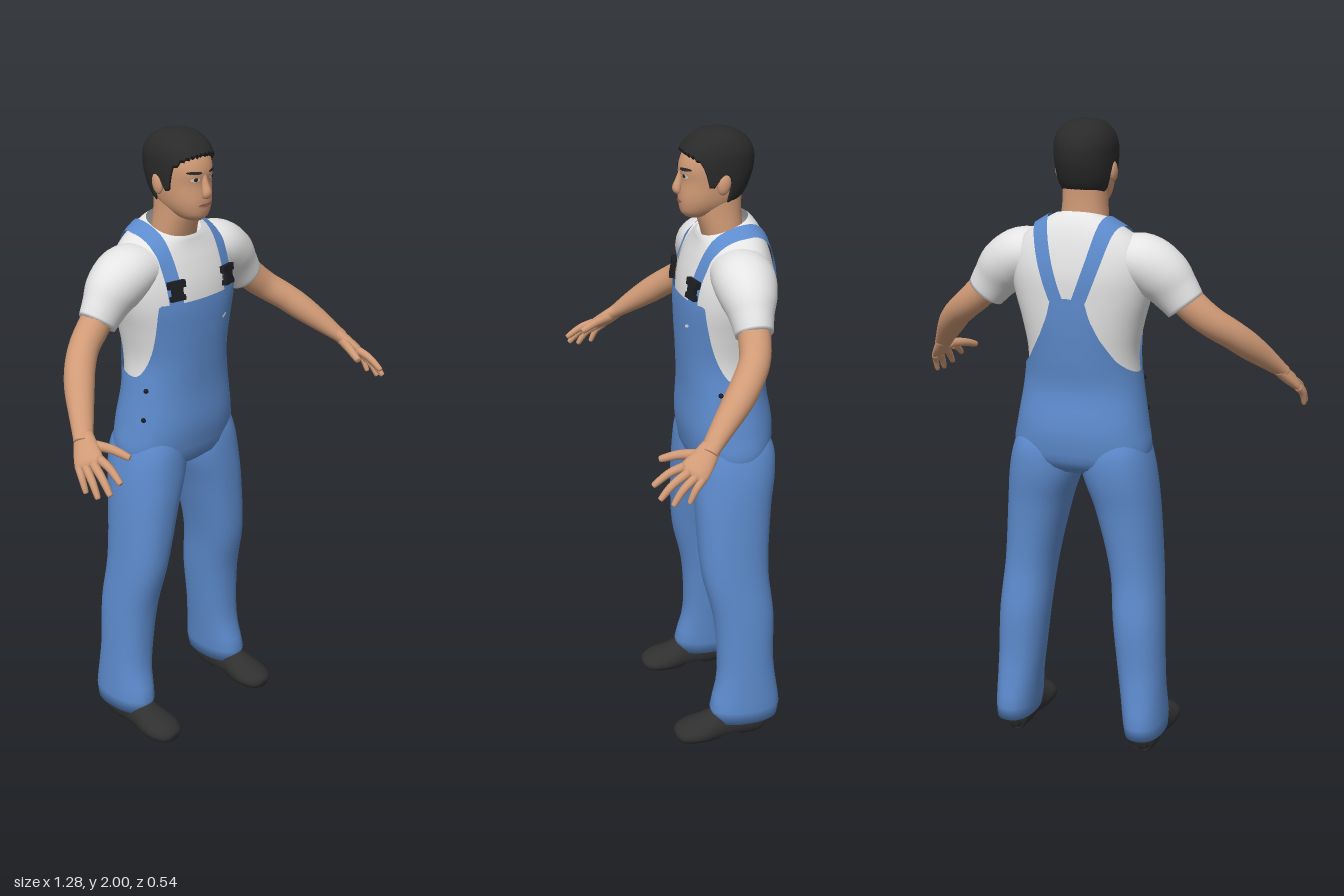
import * as THREE from 'three';

const mat = (name, color, side = THREE.DoubleSide) => {
  const m = new THREE.MeshStandardMaterial({ color, side });
  m.name = name;
  return m;
};

// Skin a list of equal-length rings; optionally closed round and capped.
function loft(rings, { closed = true, caps = true } = {}) {
  const n = rings[0].length, pos = [], idx = [];
  rings.forEach(r => r.forEach(p => pos.push(p.x, p.y, p.z)));
  const cols = closed ? n : n - 1;
  for (let i = 0; i < rings.length - 1; i++) for (let j = 0; j < cols; j++) {
    const k = (j + 1) % n, a = i * n + j, b = i * n + k, c = b + n, d = a + n;
    idx.push(a, d, c, a, c, b);
  }
  if (caps) [0, rings.length - 1].forEach((ri, end) => {
    const c = new THREE.Vector3();
    rings[ri].forEach(p => c.addScaledVector(p, 1 / n));
    const ci = pos.length / 3;
    pos.push(c.x, c.y, c.z);
    for (let j = 0; j < n; j++) {
      const a = ri * n + j, b = ri * n + (j + 1) % n;
      if (end) idx.push(ci, b, a); else idx.push(ci, a, b);
    }
  });
  const g = new THREE.BufferGeometry();
  g.setAttribute('position', new THREE.Float32BufferAttribute(pos, 3));
  g.setIndex(idx);
  g.computeVertexNormals();
  return g;
}

// Smooth interpolation of table rows by their first column.
function rowAt(rows, y) {
  let i = 0;
  while (i < rows.length - 2 && y > rows[i + 1][0]) i++;
  const A = rows[i], B = rows[i + 1], h = B[0] - A[0];
  const t = THREE.MathUtils.clamp((y - A[0]) / h, 0, 1), P = rows[i - 1] || A, Q = rows[i + 2] || B;
  return A.map((a, c) => {
    const m0 = (B[c] - P[c]) / (B[0] - P[0]) * h, m1 = (Q[c] - a) / (Q[0] - A[0]) * h;
    return (2 * t ** 3 - 3 * t * t + 1) * a + (t ** 3 - 2 * t * t + t) * m0
      + (3 * t * t - 2 * t ** 3) * B[c] + (t ** 3 - t * t) * m1;
  });
}
const linear = (rows, x) => {
  let i = 0;
  while (i < rows.length - 2 && x > rows[i + 1][0]) i++;
  const [a, b] = [rows[i], rows[i + 1]];
  return THREE.MathUtils.mapLinear(THREE.MathUtils.clamp(x, a[0], b[0]), a[0], b[0], a[1], b[1]);
};

// Upright shell from rows [y, centreX, halfWidth, zFront, zBack, tilt]; lower and upper rims vary by angle.
function shell(rows, lo, hi, { off = 0, exp = 2.25, steps = 36, segs = 80, caps = true } = {}) {
  const rings = [];
  for (let i = 0; i <= steps; i++) {
    const ring = [], t = Math.sin(i / steps * Math.PI / 2);
    for (let j = 0; j < segs; j++) {
      const a = j / segs * Math.PI * 2, c = Math.cos(a), s = Math.sin(a);
      const y = THREE.MathUtils.lerp(lo(c, s), hi(c, s), t);
      const [, cx, hw, zf, zb, tilt = 0] = rowAt(rows, y);
      const sp = v => Math.sign(v) * Math.abs(v) ** (2 / exp);
      const dz = sp(s) * ((zf - zb) / 2 + off);
      ring.push(new THREE.Vector3(cx + sp(c) * (hw + off), y + tilt * dz, (zf + zb) / 2 + dz));
    }
    rings.push(ring);
  }
  return loft(rings, { caps });
}

// Limb along rows [x, y, z, radius along hint, radius across].
function limb(rows, hint, { segs = 18, sub = 5, floor } = {}) {
  const keyed = rows.map((r, i) => [i, ...r]), h = new THREE.Vector3(...hint), rings = [];
  const at = k => rowAt(keyed, k).slice(1), last = rows.length - 1;
  for (let i = 0; i <= last * sub; i++) {
    const k = i / sub, [x, y, z, r1, r2] = at(k);
    const p = at(Math.max(0, k - 0.1)), q = at(Math.min(last, k + 0.1));
    const t = new THREE.Vector3(q[0] - p[0], q[1] - p[1], q[2] - p[2]).normalize();
    const u = h.clone().addScaledVector(t, -h.dot(t)).normalize(), v = u.clone().cross(t);
    rings.push(Array.from({ length: segs }, (_, j) => {
      const a = j / segs * Math.PI * 2;
      const w = new THREE.Vector3(x, y, z).addScaledVector(u, r1 * Math.cos(a)).addScaledVector(v, r2 * Math.sin(a));
      if (floor) w.y = Math.max(w.y, floor(w.z));
      return w;
    }));
  }
  return loft(rings);
}

function mirrored(g) {
  const m = g.clone().scale(-1, 1, 1), ix = m.index.array;
  for (let i = 0; i < ix.length; i += 3) [ix[i], ix[i + 1]] = [ix[i + 1], ix[i]];
  m.computeVertexNormals();
  return m;
}

export function createModel() {
  const root = new THREE.Group();
  const skin = mat('skin', 0xd09a76), hair = mat('dark hair', 0x2a2a2a), white = mat('white cotton', 0xe4e4e4);
  const denim = mat('blue denim', 0x5d8bcd), leather = mat('black leather', 0x303030);
  const plastic = mat('buckle black', 0x1c1e22), lip = mat('lips', 0xa8685a), eyeWhite = mat('eye white', 0xd8d4cc);
  const add = (name, g, m) => {
    const mesh = new THREE.Mesh(g, m);
    mesh.name = name;
    root.add(mesh);
    return mesh;
  };
  const pair = (name, g, m) => [add('left' + name, g, m), add('right' + name, mirrored(g), m)];
  const ray = new THREE.Raycaster();
  const hit = (targets, from, dir) => {
    ray.set(from, dir);
    return ray.intersectObjects(targets, false)[0]?.point;
  };

  // Torso: shirt and overalls share one set of sections
  const torso = [
    [0.93, 0, 0.12, -0.04, -0.2, 0], [0.96, 0, 0.19, -0.005, -0.24, 0], [1.0, 0, 0.211, 0.006, -0.252, 0],
    [1.08, 0, 0.2, 0.018, -0.257, 0], [1.2, 0, 0.181, 0.014, -0.238, 0], [1.3, 0, 0.172, 0.018, -0.248, 0],
    [1.4, 0, 0.19, 0.022, -0.257, 0], [1.48, 0, 0.212, 0.021, -0.26, 0], [1.55, 0, 0.222, 0.01, -0.26, 0],
    [1.61, 0, 0.213, -0.01, -0.25, 0], [1.65, 0, 0.185, -0.022, -0.236, -0.1], [1.68, 0, 0.145, -0.03, -0.22, -0.2],
    [1.7, 0, 0.108, -0.034, -0.202, -0.3], [1.71, 0, 0.086, -0.038, -0.188, -0.36]];
  const shirt = add('shirt', shell(torso, () => 1.2, () => 1.71, { caps: false }), white);
  const sleeves = pair('Sleeve', limb([
    [0.11, 1.6, -0.12, 0.066, 0.085], [0.19, 1.588, -0.122, 0.085, 0.095], [0.25, 1.55, -0.12, 0.085, 0.085],
    [0.29, 1.505, -0.117, 0.073, 0.066], [0.322, 1.463, -0.115, 0.063, 0.056]], [0, 1, 0], { segs: 28 }), white);
  const frontRim = [[0, 1.5], [0.7, 1.5], [0.75, 1.46], [0.86, 1.36], [0.95, 1.29], [1, 1.25]];
  const backRim = [[0, 1.49], [0.2, 1.485], [0.28, 1.43], [0.45, 1.37], [0.75, 1.295], [1, 1.25]];
  const rim = (c, s) => linear(s >= 0 ? frontRim : backRim, Math.abs(c));
  const bib = add('overallsBody', shell(torso, () => 0.93, rim, { off: 0.008, segs: 120, caps: false }), denim);

  // Trouser legs and shoes
  pair('TrouserLeg', shell([
    [0.06, 0.222, 0.063, -0.03, -0.25], [0.1, 0.22, 0.066, -0.02, -0.258], [0.2, 0.212, 0.07, -0.045, -0.245],
    [0.28, 0.205, 0.074, -0.05, -0.237], [0.44, 0.193, 0.08, -0.038, -0.238], [0.6, 0.178, 0.082, -0.002, -0.222],
    [0.81, 0.146, 0.1, 0.01, -0.235], [0.92, 0.122, 0.113, 0.01, -0.252], [1, 0.112, 0.106, 0.005, -0.252],
    [1.06, 0.105, 0.09, -0.01, -0.23]], () => 0.06, () => 1.06, { segs: 40 }), denim);
  pair('Shoe', limb([
    [0.222, 0.035, -0.21, 0.02, 0.03], [0.222, 0.04, -0.195, 0.04, 0.045], [0.222, 0.045, -0.14, 0.045, 0.06],
    [0.222, 0.042, -0.05, 0.05, 0.056], [0.222, 0.032, 0, 0.06, 0.045], [0.222, 0.028, 0.05, 0.06, 0.036],
    [0.222, 0.022, 0.085, 0.044, 0.027], [0.222, 0.018, 0.1, 0.02, 0.014]], [1, 0, 0],
    { segs: 28, floor: z => (z > -0.11 && z < -0.05 ? 0.014 : 0) }), leather);

  // Straps laid over the shoulders, from bib to back
  const strap = [];
  for (let i = 0; i <= 40; i++) {
    const a = i / 40 * Math.PI, d = new THREE.Vector3(0, Math.sin(a), Math.cos(a));
    const x = linear([[0, 0.11], [1.2, 0.119], [1.75, 0.117], [Math.PI, 0.034]], a);
    const edge = [-0.023, 0, 0.023].map(w =>
      hit([shirt, ...sleeves], new THREE.Vector3(x + w, 1.48, -0.115).add(d), d.clone().negate())?.addScaledVector(d, 0.009));
    if (edge.every(Boolean)) strap.push(edge);
  }
  pair('Strap', loft(strap, { closed: false, caps: false }), denim);

  // Buckles and side buttons
  [-1, 1].forEach(s => {
    const buckle = new THREE.Group();
    buckle.name = s > 0 ? 'leftBuckle' : 'rightBuckle';
    [[0.058, 0.022, 0.022], [0.036, 0.03, 0], [0.05, 0.016, -0.02]].forEach(([w, h, y]) => {
      const part = new THREE.Mesh(new THREE.BoxGeometry(w, h, 0.016), plastic);
      part.position.y = y;
      buckle.add(part);
    });
    const p = hit([shirt], new THREE.Vector3(s * 0.11, 1.54, 1), new THREE.Vector3(0, 0, -1));
    buckle.position.set(p.x, p.y, p.z + 0.013);
    buckle.rotation.set(-0.15, s * 0.25, 0);
    root.add(buckle);
    [1.215, 1.12].forEach(y => {
      const q = hit([bib], new THREE.Vector3(s, y, -0.06), new THREE.Vector3(-s, 0, 0));
      add('sideButton', new THREE.SphereGeometry(0.008, 10, 8).translate(q.x, q.y, q.z), plastic);
    });
  });

  // Arms and hands
  pair('Arm', limb([
    [0.29, 1.51, -0.115, 0.05, 0.048], [0.35, 1.452, -0.107, 0.049, 0.048], [0.4, 1.41, -0.09, 0.046, 0.046],
    [0.45, 1.37, -0.052, 0.044, 0.046], [0.49, 1.33, -0.01, 0.042, 0.044], [0.53, 1.285, 0.04, 0.034, 0.037],
    [0.566, 1.242, 0.086, 0.024, 0.03], [0.578, 1.228, 0.1, 0.022, 0.028]], [0, 1, 0], { segs: 24 }), skin);
  pair('Palm', limb([
    [0.562, 1.246, 0.082, 0.028, 0.022], [0.582, 1.215, 0.115, 0.038, 0.021], [0.599, 1.19, 0.145, 0.044, 0.017],
    [0.605, 1.178, 0.157, 0.038, 0.01]], [-0.05, 0.03, 0.06], { segs: 20 }), skin);
  [
    ['Thumb', [0.566, 1.222, 0.112], [0.535, 1.215, 0.17], [0.512, 1.197, 0.224], 0.014],
    ['IndexFinger', [0.58, 1.2, 0.168], [0.582, 1.185, 0.215], [0.585, 1.153, 0.263], 0.012],
    ['MiddleFinger', [0.596, 1.19, 0.158], [0.608, 1.162, 0.21], [0.614, 1.122, 0.25], 0.012],
    ['RingFinger', [0.61, 1.18, 0.142], [0.624, 1.15, 0.185], [0.63, 1.107, 0.216], 0.0115],
    ['LittleFinger', [0.62, 1.175, 0.125], [0.631, 1.15, 0.15], [0.634, 1.11, 0.17], 0.0105],
  ].forEach(([name, a, b, c, r]) => {
    const nearTip = c.map((v, i) => v * 0.9 + b[i] * 0.1);
    pair(name, limb([[...a, r * 1.15, r * 1.15], [...b, r, r], [...nearTip, r * 0.75, r * 0.75], [...c, r * 0.3, r * 0.3]],
      [1, 0, 0], { segs: 10, sub: 4 }), skin);
  });

  // Neck, head and hair
  add('neck', shell([[1.64, 0, 0.078, -0.06, -0.185], [1.7, 0, 0.073, -0.044, -0.172], [1.75, 0, 0.068, -0.03, -0.168],
    [1.82, 0, 0.066, -0.025, -0.168]], () => 1.64, () => 1.82, { segs: 36, steps: 10 }), skin);
  const skull = [
    [1.737, 0, 0.026, 0.002, -0.07], [1.748, 0, 0.045, 0.015, -0.1], [1.77, 0, 0.062, 0.021, -0.14],
    [1.8, 0, 0.073, 0.023, -0.168], [1.85, 0, 0.08, 0.018, -0.188], [1.885, 0, 0.082, 0.022, -0.195],
    [1.92, 0, 0.081, 0.012, -0.193], [1.95, 0, 0.071, -0.008, -0.178], [1.972, 0, 0.052, -0.035, -0.153],
    [1.983, 0, 0.032, -0.06, -0.127], [1.988, 0, 0.004, -0.09, -0.098]];
  const head = add('head', shell(skull, () => 1.737, () => 1.988, { segs: 48 }), skin);
  const hairline = [[-1, 1.772], [-0.4, 1.78], [-0.22, 1.85], [0.04, 1.855], [0.1, 1.822], [0.28, 1.825],
    [0.42, 1.89], [0.7, 1.915], [1, 1.928]];
  add('hair', shell(skull, (c, s) => linear(hairline, s) + 0.004 * Math.sin(c * 40), () => 1.988, { off: 0.01, segs: 96 })
    .translate(0, 0.012, 0), hair);
  pair('Ear', new THREE.SphereGeometry(1, 14, 12).scale(0.012, 0.032, 0.02).rotateX(-0.2).translate(0.086, 1.848, -0.092), skin);

  // Face
  add('nose', limb([[0, 1.88, 0.013, 0.009, 0.008], [0, 1.85, 0.021, 0.011, 0.012], [0, 1.825, 0.029, 0.016, 0.014],
    [0, 1.812, 0.024, 0.014, 0.01]], [1, 0, 0], { segs: 14 }), skin);
  const decal = (name, x, y, w, h, m, lift = 0.002, target = head, turn = 0) => {
    const g = new THREE.CircleGeometry(1, 18).scale(w, h, 1).rotateZ(turn).translate(x, y, 0), p = g.attributes.position;
    for (let i = 0; i < p.count; i++) {
      const q = hit([target], new THREE.Vector3(p.getX(i), p.getY(i), 1), new THREE.Vector3(0, 0, -1));
      p.setZ(i, (q ? q.z : 0) + lift);
    }
    g.computeVertexNormals();
    add(name, g, m);
  };
  [-1, 1].forEach(s => {
    decal('eyebrow', s * 0.036, 1.888, 0.022, 0.005, hair, 0.003, head, s * 0.06);
    decal('eye', s * 0.034, 1.867, 0.014, 0.006, eyeWhite);
    decal('iris', s * 0.034, 1.868, 0.006, 0.006, hair, 0.004);
  });
  decal('lips', 0, 1.787, 0.026, 0.006, lip, 0.003);
  decal('bibMark', 0.085, 1.418, 0.012, 0.005, white, 0.002, bib, 0.4);
  return root;
}
